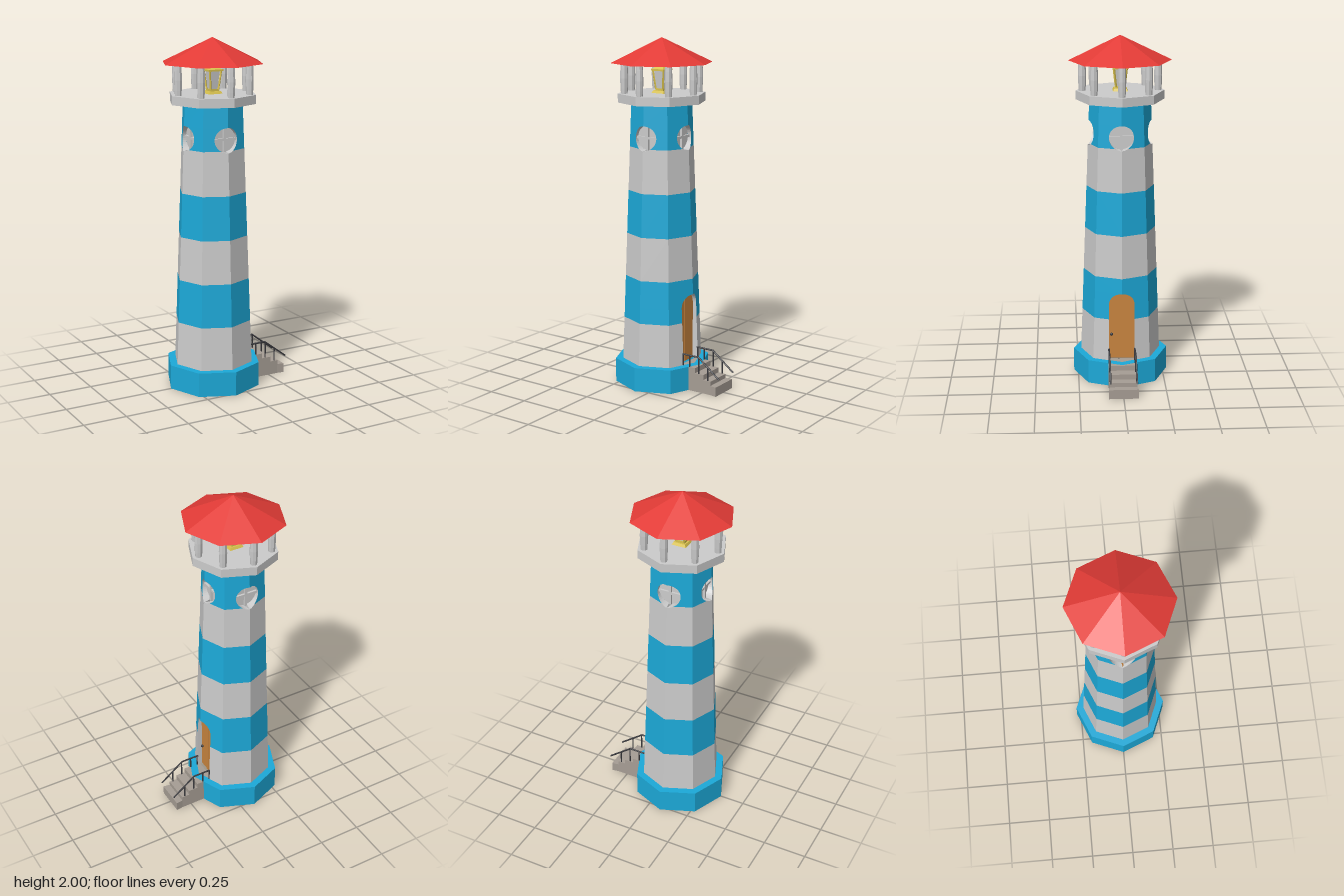
import * as THREE from 'three';

const mat = (color) => new THREE.MeshStandardMaterial({ color, flatShading: true, side: THREE.DoubleSide });
const GREY = mat(0xcccccc), BLUE = mat(0x1ca9d8), RED = mat(0xe23b36), WOOD = mat(0xc9853f),
  STONE = mat(0xa69d94), IRON = mat(0x3a3a3e), BRASS = mat(0xd9c24e);

const add = (parent, name, geometry, material, x = 0, y = 0, z = 0) => {
  const m = new THREE.Mesh(geometry, material);
  m.name = name;
  m.position.set(x, y, z);
  parent.add(m);
  return m;
};

// Tower measurements
const BASE_Y = 0.14, TOP_Y = 1.64, STRIPES = 6;
const radius = (y) => THREE.MathUtils.lerp(0.232, 0.174, (y - BASE_Y) / (TOP_Y - BASE_Y));
const TAN = Math.tan(Math.PI / 8);
const WIN = { y: 1.45, r: 0.07, depth: 0.13 };
const DOOR = { y: 0.475, r: 0.074, depth: 0.165 };

// Half width of the opening in the corner "k" (quarter turns, 1 = door side) at height y
function opening(y, k) {
  if (k === 1 && y < DOOR.y) return DOOR.r;
  const half = (o) => Math.sqrt(Math.max(0, o.r ** 2 - (y - o.y) ** 2));
  return Math.max(half(WIN), k === 1 ? half(DOOR) : 0);
}

// Heights to sample between y0 and y1, dense along the round openings
function rows(y0, y1) {
  const ys = [y0, y1];
  for (let i = 0; i <= 20; i++) {
    ys.push(WIN.y + WIN.r * Math.cos((i / 20) * Math.PI));
    ys.push(DOOR.y + DOOR.r * Math.sin((i / 40) * Math.PI));
  }
  return ys.filter((y) => y >= y0 && y <= y1).sort((a, b) => a - b);
}

// Strips between two edge curves, repeated on both sides of the four axis corners
function cornerStrips(ys, edgeA, edgeB) {
  const pos = [];
  const up = new THREE.Vector3(0, 1, 0);
  for (let k = 0; k < 4; k++) {
    for (const s of [1, -1]) {
      const at = (edge, y) => {
        const [t, z] = edge(y, k);
        return new THREE.Vector3(s * t, y, z).applyAxisAngle(up, (k * Math.PI) / 2);
      };
      for (let i = 0; i + 1 < ys.length; i++) {
        const a = at(edgeA, ys[i]), b = at(edgeB, ys[i]), c = at(edgeB, ys[i + 1]), d = at(edgeA, ys[i + 1]);
        const tris = s > 0 ? [a, b, c, a, c, d] : [a, c, b, a, d, c];
        tris.forEach((p) => pos.push(p.x, p.y, p.z));
      }
    }
  }
  const g = new THREE.BufferGeometry();
  g.setAttribute('position', new THREE.Float32BufferAttribute(pos, 3));
  g.computeVertexNormals();
  return g;
}

const wallPoint = (t, y) => [t, radius(y) - t * TAN];
const innerEdge = (y, k) => wallPoint(opening(y, k), y);
const outerEdge = (y) => wallPoint(radius(y) * Math.SQRT1_2, y);
const recessEdge = (y, k) => {
  const t = opening(y, k);
  const [, z] = wallPoint(t, y);
  return [t, t > 0 ? Math.min(z, y > 1 ? WIN.depth : DOOR.depth) : z];
};

function buildTower(parent) {
  const h = (TOP_Y - BASE_Y) / STRIPES;
  for (let i = 0; i < STRIPES; i++) {
    const ys = rows(BASE_Y + i * h, BASE_Y + (i + 1) * h);
    add(parent, `wallStripe${i + 1}`, cornerStrips(ys, innerEdge, outerEdge), i % 2 ? BLUE : GREY);
  }
  add(parent, 'openingReveals', cornerStrips(rows(BASE_Y, TOP_Y), recessEdge, innerEdge), GREY);

  // Plinth, open underneath
  add(parent, 'plinth', new THREE.CylinderGeometry(0.275, 0.275, BASE_Y, 8, 1, true), BLUE, 0, BASE_Y / 2);
  add(parent, 'plinthTop', new THREE.RingGeometry(0.23, 0.275, 8), BLUE, 0, BASE_Y).rotation.x = -Math.PI / 2;
}

function buildWindow(parent, k) {
  const g = new THREE.Group();
  g.name = 'roundWindow';
  g.rotation.y = (k * Math.PI) / 2;
  add(g, 'windowPane', new THREE.CircleGeometry(WIN.r, 32), GREY, 0, WIN.y, WIN.depth);
  add(g, 'windowBarVertical', new THREE.BoxGeometry(0.014, 0.138, 0.014), GREY, 0, WIN.y, WIN.depth + 0.007);
  add(g, 'windowBarHorizontal', new THREE.BoxGeometry(0.138, 0.014, 0.012), GREY, 0, WIN.y, WIN.depth + 0.006);
  parent.add(g);
}

function buildDoor(parent) {
  const g = new THREE.Group();
  g.name = 'door';
  g.rotation.y = Math.PI / 2;
  const s = new THREE.Shape();
  s.moveTo(-DOOR.r, BASE_Y).lineTo(DOOR.r, BASE_Y).lineTo(DOOR.r, DOOR.y);
  s.absarc(0, DOOR.y, DOOR.r, 0, Math.PI, false);
  const panel = new THREE.ExtrudeGeometry(s, { depth: 0.02, bevelEnabled: false, curveSegments: 20 });
  add(g, 'doorPanel', panel, WOOD, 0, 0, DOOR.depth - 0.02);
  add(g, 'doorPlank', new THREE.BoxGeometry(0.026, 0.395, 0.004), WOOD, 0, 0.34, DOOR.depth + 0.002);
  add(g, 'doorKnob', new THREE.SphereGeometry(0.009, 10, 8), IRON, -0.058, 0.29, DOOR.depth + 0.007);
  parent.add(g);
}

function buildLanternRoom(parent) {
  add(parent, 'gallery', new THREE.CylinderGeometry(0.25, 0.25, 0.05, 8), GREY, 0, 1.665);

  // Columns with a slight swell
  const profile = [[0.019, 1.69], [0.021, 1.72], [0.023, 1.775], [0.021, 1.83], [0.019, 1.86]];
  const column = new THREE.LatheGeometry(profile.map(([r, y]) => new THREE.Vector2(r, y)), 8);
  for (let i = 0; i < 8; i++) {
    const a = (i * Math.PI) / 4;
    add(parent, 'column', column, GREY, 0.213 * Math.sin(a), 0, 0.213 * Math.cos(a)).rotation.y = a;
  }

  // Roof with a flat soffit
  add(parent, 'roof', new THREE.CylinderGeometry(0, 0.29, 0.14, 8, 1, true), RED, 0, 1.93);
  add(parent, 'soffit', new THREE.CircleGeometry(0.29, 8), GREY, 0, 1.86).rotation.x = Math.PI / 2;

  // Lamp: square frame that widens upwards
  const lamp = new THREE.Group();
  lamp.name = 'lamp';
  const square = (name, top, bottom, h, y, m) =>
    (add(lamp, name, new THREE.CylinderGeometry(top * Math.SQRT2, bottom * Math.SQRT2, h, 4), m, 0, y).rotation.y = Math.PI / 4);
  square('lampFoot', 0.035, 0.042, 0.014, 1.697, BRASS);
  square('lampStem', 0.026, 0.026, 0.012, 1.71, BRASS);
  square('lampGlass', 0.03, 0.021, 0.1, 1.765, GREY);
  square('lampRim', 0.044, 0.044, 0.01, 1.82, BRASS);
  square('lampCap', 0.015, 0.038, 0.02, 1.835, BRASS);
  for (const x of [-1, 1]) {
    for (const z of [-1, 1]) {
      const path = new THREE.LineCurve3(
        new THREE.Vector3(x * 0.024, 1.712, z * 0.024), new THREE.Vector3(x * 0.036, 1.82, z * 0.036));
      add(lamp, 'lampStrut', new THREE.TubeGeometry(path, 1, 0.006, 4), BRASS);
    }
  }
  parent.add(lamp);
}

function buildStairs(parent) {
  const g = new THREE.Group();
  g.name = 'stairs';
  // Side profile of the steps, extruded across z
  const steps = [[0.205, 0.14], [0.262, 0.11], [0.31, 0.08]];
  const s = new THREE.Shape();
  s.moveTo(0.1, 0);
  s.lineTo(0.1, 0.139);
  steps.forEach(([x, y], i) => {
    if (i) s.lineTo(steps[i - 1][0], y);
    s.lineTo(x, y);
  });
  s.lineTo(0.31, 0);
  add(g, 'steps', new THREE.ExtrudeGeometry(s, { depth: 0.16, bevelEnabled: false }), STONE, 0, 0, -0.08);

  // Bottom step flares outwards
  const f = new THREE.Shape([[0.31, -0.08], [0.35, -0.086], [0.35, 0.086], [0.31, 0.08]].map(([x, z]) => new THREE.Vector2(x, z)));
  add(g, 'bottomStep', new THREE.ExtrudeGeometry(f, { depth: 0.055, bevelEnabled: false }), STONE, 0, 0.055).rotation.x = Math.PI / 2;

  // Handrails
  const railY = (x) => (x < 0.225 ? 0.208 : 0.208 - ((x - 0.225) * 0.108) / 0.14);
  for (const z of [-0.075, 0.075]) {
    const bar = (name, x0, y0, x1, y1, r) => add(g, name, new THREE.TubeGeometry(
      new THREE.LineCurve3(new THREE.Vector3(x0, y0, z), new THREE.Vector3(x1, y1, z)), 1, r, 6), IRON);
    bar('handrail', 0.113, 0.208, 0.227, 0.208, 0.005);
    bar('handrail', 0.225, 0.208, 0.365, 0.1, 0.005);
    for (const [x, foot] of [[0.12, 0.14], [0.165, 0.14], [0.228, 0.11], [0.29, 0.08]]) {
      bar('railPost', x, foot, x, railY(x), 0.004);
    }
  }
  parent.add(g);
}

export function createModel() {
  const model = new THREE.Group();
  model.name = 'lighthouse';
  const tower = new THREE.Group();
  tower.name = 'tower';
  tower.position.x = -0.08;
  model.add(tower);
  buildTower(tower);
  for (let k = 0; k < 4; k++) buildWindow(tower, k);
  buildDoor(tower);
  buildLanternRoom(tower);
  buildStairs(model);
  return model;
}
